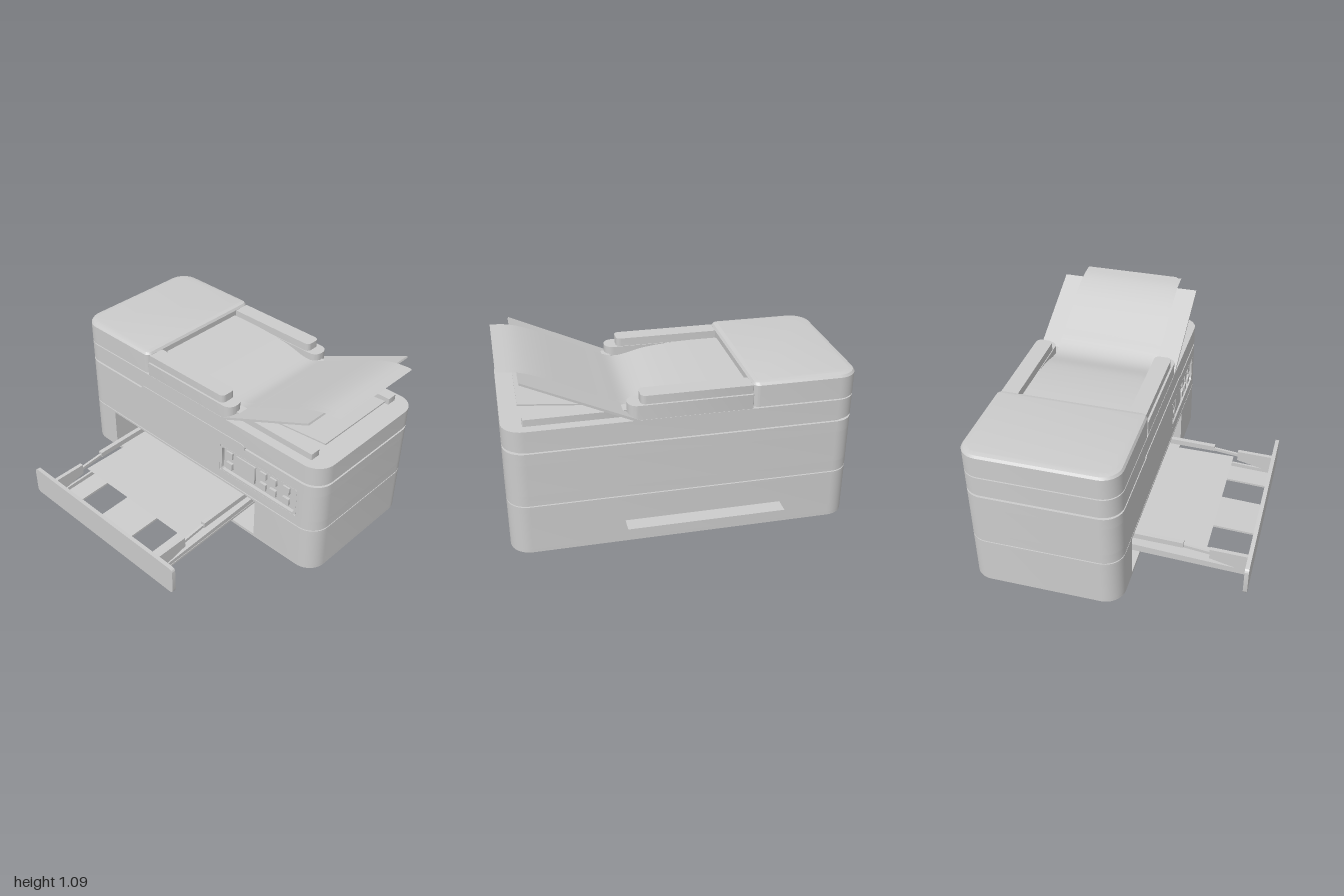
import * as THREE from 'three';
import { toCreasedNormals } from 'three/addons/utils/BufferGeometryUtils.js';

const grey = new THREE.MeshStandardMaterial({ color: 0xcccccc });
const thin = new THREE.MeshStandardMaterial({ color: 0xcccccc, side: THREE.DoubleSide });
const FRONT = 0.16, BACK = -0.76;

export function createModel() {
  const model = new THREE.Group();

  function add(name, geometry, material = grey) {
    const mesh = new THREE.Mesh(geometry, material);
    mesh.name = name;
    model.add(mesh);
    return mesh;
  }

  function box(name, x0, x1, y0, y1, z0, z1) {
    const g = new THREE.BoxGeometry(x1 - x0, y1 - y0, z1 - z0);
    g.translate((x0 + x1) / 2, (y0 + y1) / 2, (z0 + z1) / 2);
    return add(name, g);
  }

  // Rounded rectangle with separate radii for its low-x and high-x ends
  // and an optional notch in its low-y edge.
  function roundRect(x0, y0, x1, y1, rl, rr = rl, notch) {
    const s = new THREE.Shape();
    s.moveTo(x0 + rl, y0);
    if (notch) {
      s.lineTo(notch.x0, y0);
      s.lineTo(notch.x0, y0 + notch.depth);
      s.lineTo(notch.x1, y0 + notch.depth);
      s.lineTo(notch.x1, y0);
    }
    s.lineTo(x1 - rr, y0);
    s.absarc(x1 - rr, y0 + rr, rr, -Math.PI / 2, 0);
    s.lineTo(x1, y1 - rr);
    s.absarc(x1 - rr, y1 - rr, rr, 0, Math.PI / 2);
    s.lineTo(x0 + rl, y1);
    s.absarc(x0 + rl, y1 - rl, rl, Math.PI / 2, Math.PI);
    s.lineTo(x0, y0 + rl);
    s.absarc(x0 + rl, y0 + rl, rl, Math.PI, Math.PI * 1.5);
    return s;
  }

  function extrude(shape, depth, options = {}) {
    const g = new THREE.ExtrudeGeometry(shape, { depth, bevelEnabled: false, curveSegments: 5, ...options });
    return toCreasedNormals(g, 0.5);
  }

  // Plan outline (x, -z) raised from y0 to y1
  function slab(name, shape, y0, y1) {
    return add(name, extrude(shape, y1 - y0).rotateX(-Math.PI / 2).translate(0, y0, 0));
  }

  // Front outline (x, y) pushed from z0 to z1
  function panel(name, shape, z0, z1) {
    return add(name, extrude(shape, z1 - z0).translate(0, 0, z0));
  }

  const polygon = (points) => new THREE.Shape(points.map(([a, b]) => new THREE.Vector2(a, b)));

  // Side outline (z, y) pushed from x0 to x1
  function sidePart(name, points, x0, x1) {
    return add(name, extrude(polygon(points), x1 - x0).rotateY(-Math.PI / 2).translate(x1, 0, 0));
  }

  const plan = (inset = 0, notch) =>
    roundRect(-1 + inset, -FRONT + inset, 1 - inset, -BACK - inset, 0.12, 0.12, notch);

  // Casing section with a rectangular opening in its front
  function openCasing(name, y0, y1, notch) {
    slab(name, plan(), y0, notch.y0);
    slab(name, plan(0, notch), notch.y0, notch.y1);
    slab(name, plan(), notch.y1, y1);
  }

  // Casing: base, middle and lid with narrow grooves between
  openCasing('baseCasing', 0, 0.303, { x0: -0.75, x1: 0.54, y0: 0.02, y1: 0.29, depth: 0.7 });
  slab('lowerGroove', plan(0.012), 0.302, 0.311);
  openCasing('middleCasing', 0.31, 0.64, { x0: 0.245, x1: 0.85, y0: 0.375, y1: 0.57, depth: 0.022 });
  slab('upperGroove', plan(0.015), 0.639, 0.656);
  slab('scannerLid', plan(), 0.655, 0.778);

  // Grip under the lid
  panel('lidGrip', roundRect(-0.45, 0.62, 0.445, 0.668, 0.022), 0.12, 0.165);

  // Control panel with screen and keys
  const bezel = roundRect(0.246, 0.376, 0.849, 0.569, 0.02);
  bezel.holes.push(roundRect(0.262, 0.388, 0.834, 0.558, 0.015));
  panel('controlBezel', bezel, 0.135, FRONT);
  panel('screen', roundRect(0.365, 0.405, 0.522, 0.54, 0.012), 0.13, 0.152);
  for (const x of [0.315, 0.585, 0.663, 0.763])
    for (const y of [0.432, 0.515])
      panel('key', roundRect(x - 0.025, y - 0.025, x + 0.025, y + 0.025, 0.004), 0.13, 0.155);

  // Paper tray: front plate, floor strips, side walls and rails
  panel('trayFront', roundRect(-0.745, 0.02, 0.535, 0.21, 0.025), 0.825, 0.85);
  for (const [x0, x1] of [[-0.59, -0.45], [-0.25, 0.03], [0.22, 0.38]])
    sidePart('trayStrip', [[-0.3, 0.065], [0.83, 0.022], [0.83, 0.036], [-0.3, 0.08]], x0, x1);
  for (const x of [-0.605, 0.355]) {
    sidePart('trayWall', [[-0.3, 0.065], [0.83, 0.022], [0.83, 0.06], [-0.3, 0.12]], x + 0.008, x + 0.022);
    sidePart('railEnd', [[0.595, 0.11], [0.83, 0.055], [0.83, 0.175], [0.595, 0.18]], x, x + 0.025);
    sidePart('railArm', [[0.42, 0.155], [0.6, 0.135], [0.6, 0.155], [0.42, 0.175]], x + 0.006, x + 0.022);
    sidePart('railSlide', [[-0.3, 0.165], [0.16, 0.16], [0.435, 0.155], [0.435, 0.19], [0.16, 0.197], [-0.3, 0.2]], x, x + 0.03);
  }

  // Blank sheet lying in the tray and out of the rear slot
  add('traySheet', new THREE.PlaneGeometry(0.92, 1.42).rotateX(-Math.PI / 2).translate(-0.11, 0.14, -0.14), thin);

  // Document feeder with a softly sloped top
  const feeder = (inset = 0) =>
    roundRect(-1 + inset, -FRONT + inset, -0.375 - inset, -BACK - inset, 0.12 - inset, 0.04 - inset);
  slab('feederSeat', feeder(0.02), 0.77, 0.79);
  slab('feederBody', feeder(), 0.786, 0.915);
  add('feederCap', extrude(feeder(), 0.001, {
    bevelEnabled: true, bevelThickness: 0.02, bevelSize: 0.035, bevelOffset: -0.035, bevelSegments: 2,
  }).rotateX(-Math.PI / 2).translate(0, 0.915, 0));

  // Feeder side guides and lid rims, mirrored about the middle of the lid
  const mid = (FRONT + BACK) / 2;
  for (const side of [1, -1]) {
    const planZ = (x0, x1, za, zb, rl, rr) => {
      const a = -(mid + side * (za - mid)), b = -(mid + side * (zb - mid));
      return roundRect(x0, Math.min(a, b), x1, Math.max(a, b), rl, rr);
    };
    slab('guideBase', planZ(-0.38, 0.32, 0.035, 0.158, 0.005, 0.055), 0.775, 0.865);
    slab('guide', planZ(-0.38, 0.25, 0.04, 0.145, 0.005, 0.03), 0.86, 0.915);
    slab('lidRim', planZ(0.28, 0.885, 0.03, 0.1, 0.005, 0.005), 0.775, 0.818);
  }

  // Sloped document tray and the low output flap beneath it
  panel('documentTray', polygon([[0.25, 0.776], [0.29, 0.778], [0.89, 1.055], [0.886, 1.066]]), BACK, FRONT);
  panel('outputFlap', polygon([[0.55, 0.803], [0.9, 0.837], [0.9, 0.846], [0.55, 0.812]]), -0.565, 0);

  // Curved sheets running from the feeder up the document tray
  function bentSheet(name, points, z0, z1) {
    const curve = new THREE.CatmullRomCurve3(points.map(([x, y]) => new THREE.Vector3(x, y, 0)));
    const g = new THREE.PlaneGeometry(1, 1, 40, 1);
    const p = g.attributes.position;
    for (let i = 0; i < p.count; i++) {
      const c = curve.getPoint(THREE.MathUtils.clamp(p.getX(i) + 0.5, 0, 1));
      p.setXYZ(i, c.x, c.y, p.getY(i) > 0 ? z0 : z1);
    }
    g.computeVertexNormals();
    add(name, g, thin);
  }
  const bend = [[-0.38, 0.872], [-0.15, 0.87], [0.08, 0.85], [0.28, 0.812], [0.42, 0.866],
    [0.6, 0.952], [0.78, 1.035], [0.89, 1.07], [1.0, 1.081]];
  bentSheet('lowerSheet', bend, -0.637, 0.03);
  bentSheet('upperSheet', bend.map(([x, y]) => [x - 0.005, y + 0.01]), -0.63, 0);

  return model;
}
